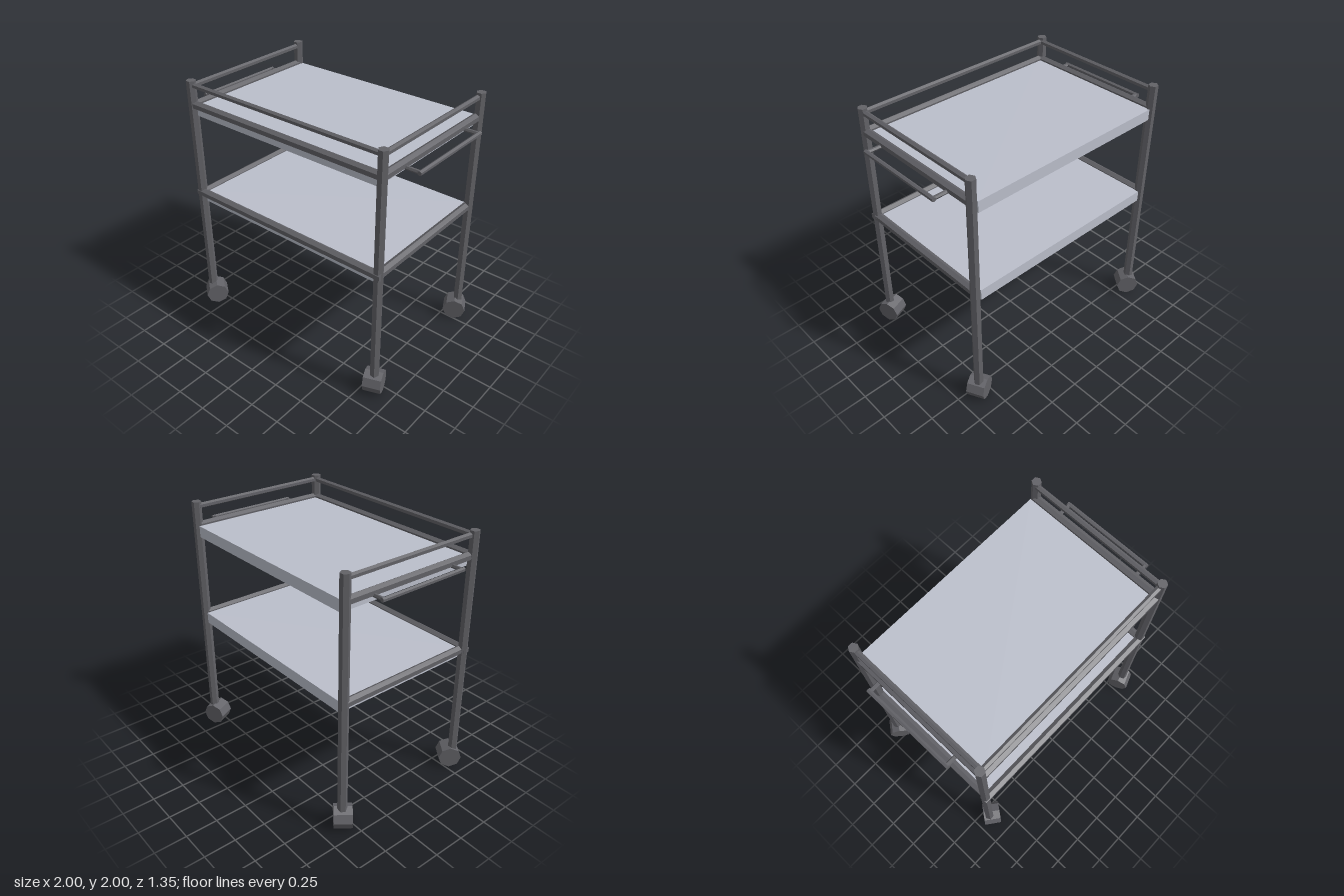
import * as THREE from 'three';

export function createModel() {
  const group = new THREE.Group();
  const frameMat = new THREE.MeshStandardMaterial({ name: 'dark grey metal', color: 0x626267, flatShading: true });
  const shelfMat = new THREE.MeshStandardMaterial({ name: 'pale grey shelf', color: 0xbbbfcb, flatShading: true });

  const add = (name, geometry, material = frameMat) => {
    const mesh = new THREE.Mesh(geometry, material);
    mesh.name = name;
    group.add(mesh);
    return mesh;
  };

  // Straight faceted bar between two points; spin turns its facets about its axis
  const bar = (name, from, to, radius, spin = 0, sides = 6) => {
    const a = new THREE.Vector3(...from), b = new THREE.Vector3(...to);
    const dir = b.clone().sub(a);
    const mesh = add(name, new THREE.CylinderGeometry(radius, radius, dir.length(), sides, 1, false, spin));
    mesh.position.copy(a).add(b).multiplyScalar(0.5);
    mesh.quaternion.setFromUnitVectors(new THREE.Vector3(0, 1, 0), dir.normalize());
    return mesh;
  };

  // Posts, each with a swivelled wheel: post x, z, wheel x, z, axle direction x, z
  const corners = [
    ['frontRight', -0.888, 0.573, -0.856, 0.567, 0.8, 0.6],
    ['frontLeft', 0.847, 0.573, 0.837, 0.562, 0.935, -0.355],
    ['backRight', -0.874, -0.576, -0.868, -0.565, -0.606, 0.795],
    ['backLeft', 0.856, -0.576, 0.84, -0.56, 0.447, 0.894],
  ];
  for (const [side, x, z, wx, wz, ax, az] of corners) {
    bar(side + 'Post', [x, 0.14, z], [x, 2, z], 0.037, Math.PI / 6);
    const wheel = add(side + 'Wheel', new THREE.CylinderGeometry(0.09, 0.09, 0.138, 8).rotateX(Math.PI / 2));
    wheel.position.set(wx, 0.09, wz);
    wheel.rotation.y = Math.atan2(ax, az);
  }

  // Rails along the front and both sides; the back stays open
  const rails = [['guard', 1.963, 0.022], ['upper', 1.81, 0.034], ['lower', 1.065, 0.034]];
  for (const [level, y, r] of rails) {
    const low = level === 'lower';
    bar(level + 'FrontRail', [low ? -0.915 : -0.88, y, low ? 0.58 : 0.57], [low ? 0.877 : 0.84, y, low ? 0.58 : 0.57], r, Math.PI / 2);
    bar(level + 'RightRail', [-0.874, y, -0.57], [-0.874, y, 0.57], r, 0);
    bar(level + 'LeftRail', [0.846, y, -0.57], [0.846, y, 0.57], r, 0);
  }

  // Shelves
  for (const [name, bottom] of [['upperShelf', 1.727], ['lowerShelf', 0.987]]) {
    const shelf = add(name, new THREE.BoxGeometry(1.665, 0.088, 1.16), shelfMat);
    shelf.position.set(-0.018, bottom + 0.044, -0.01);
  }

  // Push handles on both ends
  for (const [side, outer, inner] of [['right', -0.983, -0.83], ['left', 0.983, 0.83]]) {
    bar(side + 'HandleGrip', [outer, 1.795, -0.374], [outer, 1.795, 0.374], 0.017);
    for (const z of [-0.358, 0.358]) bar(side + 'HandleArm', [outer, 1.795, z], [inner, 1.795, z], 0.015);
  }
  return group;
}
